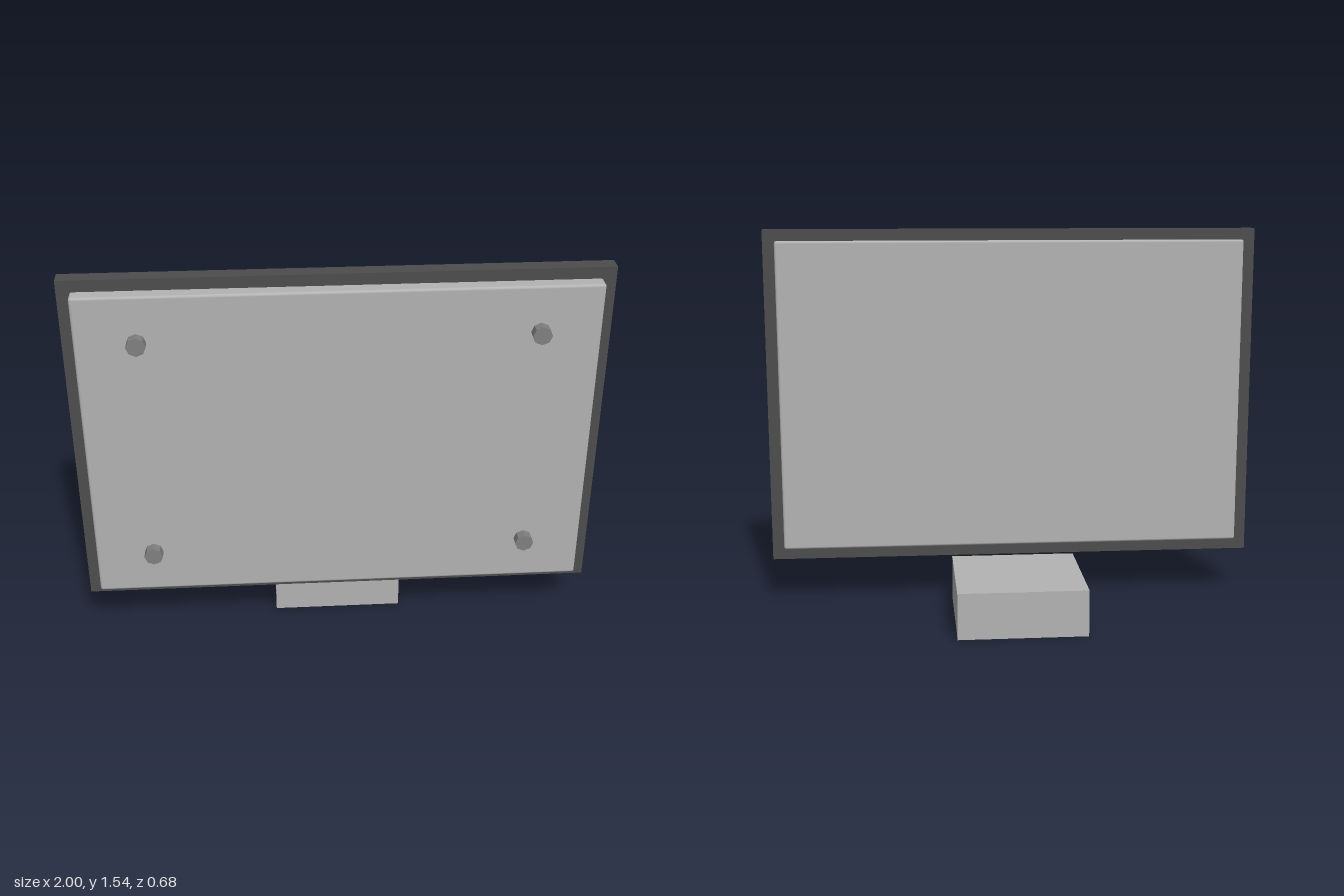
import * as THREE from 'three';
import { RoundedBoxGeometry } from 'three/addons/geometries/RoundedBoxGeometry.js';

const material = (name, color) => {
  const m = new THREE.MeshStandardMaterial({ color });
  m.name = name;
  return m;
};

export function createModel() {
  const lightGrey = material('light grey', 0xb3b3b3);
  const midGrey = material('mid grey', 0x808080);
  const darkGrey = material('dark grey', 0x4d4d4d);
  const model = new THREE.Group();
  model.name = 'wallPanel';

  const add = (name, geometry, mat, x, y, z) => {
    const mesh = new THREE.Mesh(geometry, mat);
    mesh.name = name;
    mesh.position.set(x, y, z);
    model.add(mesh);
    return mesh;
  };

  // Panel with softened edges, standing proud of the frame on both sides
  add('panel', new RoundedBoxGeometry(1.905, 1.27, 0.134, 2, 0.01), lightGrey, 0, 0.865, 0.235);

  // Rectangular surround
  const outline = (w, h, Type) => new Type([
    new THREE.Vector2(-w, -h), new THREE.Vector2(w, -h),
    new THREE.Vector2(w, h), new THREE.Vector2(-w, h),
  ]);
  const surround = outline(1, 0.68, THREE.Shape);
  surround.holes.push(outline(0.95, 0.632, THREE.Path));
  add('frame', new THREE.ExtrudeGeometry(surround, { depth: 0.06, bevelEnabled: false }),
    darkGrey, 0, 0.865, 0.188);

  // Block behind the lower edge
  add('rearBlock', new THREE.BoxGeometry(0.51, 0.185, 0.508), lightGrey, 0, 0.0925, -0.086);

  // Four studs near the corners of the front face
  const studGeometry = new THREE.CylinderGeometry(0.036, 0.036, 0.045, 8).toNonIndexed();
  studGeometry.computeVertexNormals();
  studGeometry.rotateX(Math.PI / 2);
  for (const x of [-0.728, 0.728]) {
    for (const y of [0.411, 1.321]) add('stud', studGeometry, midGrey, x, y, 0.3175);
  }
  return model;
}
